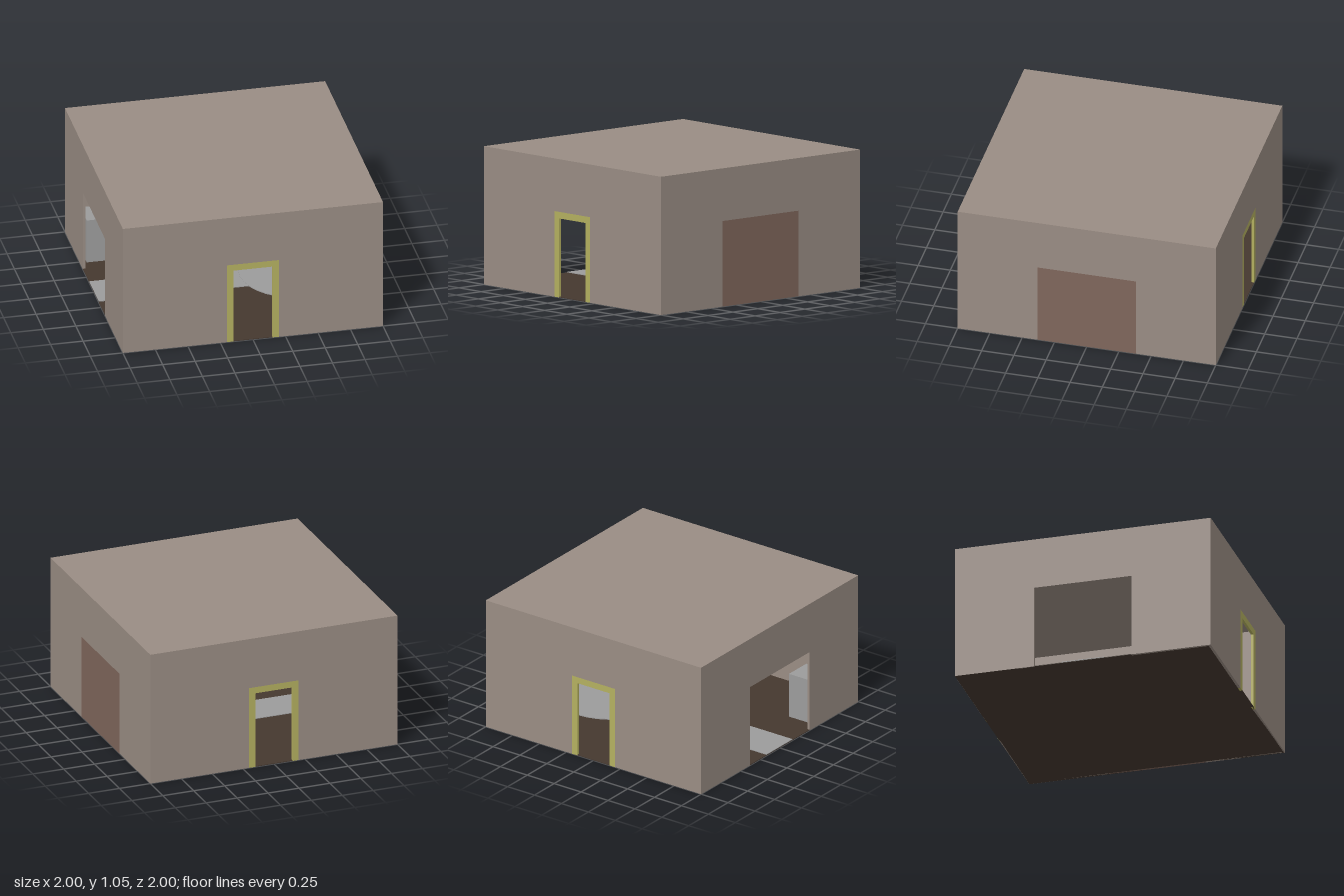
import * as THREE from 'three';

const H = 1.05; // overall height
const T = 0.02; // wall thickness
const FLOOR = 0.005;

const mat = (color) => new THREE.MeshStandardMaterial({ color, flatShading: true });

export function createModel() {
  const room = new THREE.Group();
  room.name = 'room';
  const stone = mat(0x9a8d84);
  const yellow = mat(0xb4b060);
  const brown = mat(0x80675c);
  const dark = mat(0x45382f);
  const grey = mat(0x9c9c9c);

  const add = (name, geometry, material, x, y, z, parent = room) => {
    const mesh = new THREE.Mesh(geometry, material);
    mesh.name = name;
    mesh.position.set(x, y, z);
    parent.add(mesh);
    return mesh;
  };
  const box = (name, material, w, h, d, x, y, z) =>
    add(name, new THREE.BoxGeometry(w, h, d), material, x, y, z);

  // Upright slab with a doorway cut up from its lower edge; outer face at z = 0
  const arch = (halfWidth, height, doorHalf, doorHeight) => {
    const shape = new THREE.Shape([
      [-halfWidth, 0], [-doorHalf, 0], [-doorHalf, doorHeight], [doorHalf, doorHeight],
      [doorHalf, 0], [halfWidth, 0], [halfWidth, height], [-halfWidth, height],
    ].map(([x, y]) => new THREE.Vector2(x, y)));
    return new THREE.ExtrudeGeometry(shape, { depth: T, bevelEnabled: false }).translate(0, 0, -T);
  };

  // Front and back walls, each with a framed doorway
  ['front', 'back'].forEach((side, i) => {
    const group = new THREE.Group();
    group.name = side + 'Side';
    add(side + 'Wall', arch(1, H - T, 0.2, 0.65), stone, 0, 0, 1, group);
    add(side + 'DoorFrame', arch(0.2, 0.65, 0.15, 0.6), yellow, 0, 0, 1, group);
    group.rotation.y = i * Math.PI;
    room.add(group);
  });

  // Side walls with wide openings
  for (const s of [-1, 1]) {
    const wall = add(s > 0 ? 'leftWall' : 'rightWall', arch(1 - T, H - T, 0.38, 0.65), stone, s, 0, 0);
    wall.rotation.y = s * Math.PI / 2;
  }

  // Panel closing the left opening
  box('closedPanel', brown, T, 0.65, 0.76, 1 - T / 2, 0.325, 0);

  // Roof and floor
  box('roof', stone, 2, T, 2, 0, H - T / 2, 0);
  box('floor', dark, 1.998, FLOOR, 1.998, 0, FLOOR / 2, 0);

  // Path from the open side to the round platform
  box('path', grey, 1.4, FLOOR, 0.33, -0.299, FLOOR * 1.5, 0);
  add('roundPlatform', new THREE.CylinderGeometry(0.44, 0.44, 0.007, 32), grey, 0.56, FLOOR + 0.0035, 0);

  // Corner pedestals
  for (const x of [-0.845, 0.845]) {
    for (const z of [-0.585, 0.585]) {
      box('pedestal', grey, 0.21, 0.36 - FLOOR, 0.22, x, (0.36 + FLOOR) / 2, z);
    }
  }
  return room;
}
